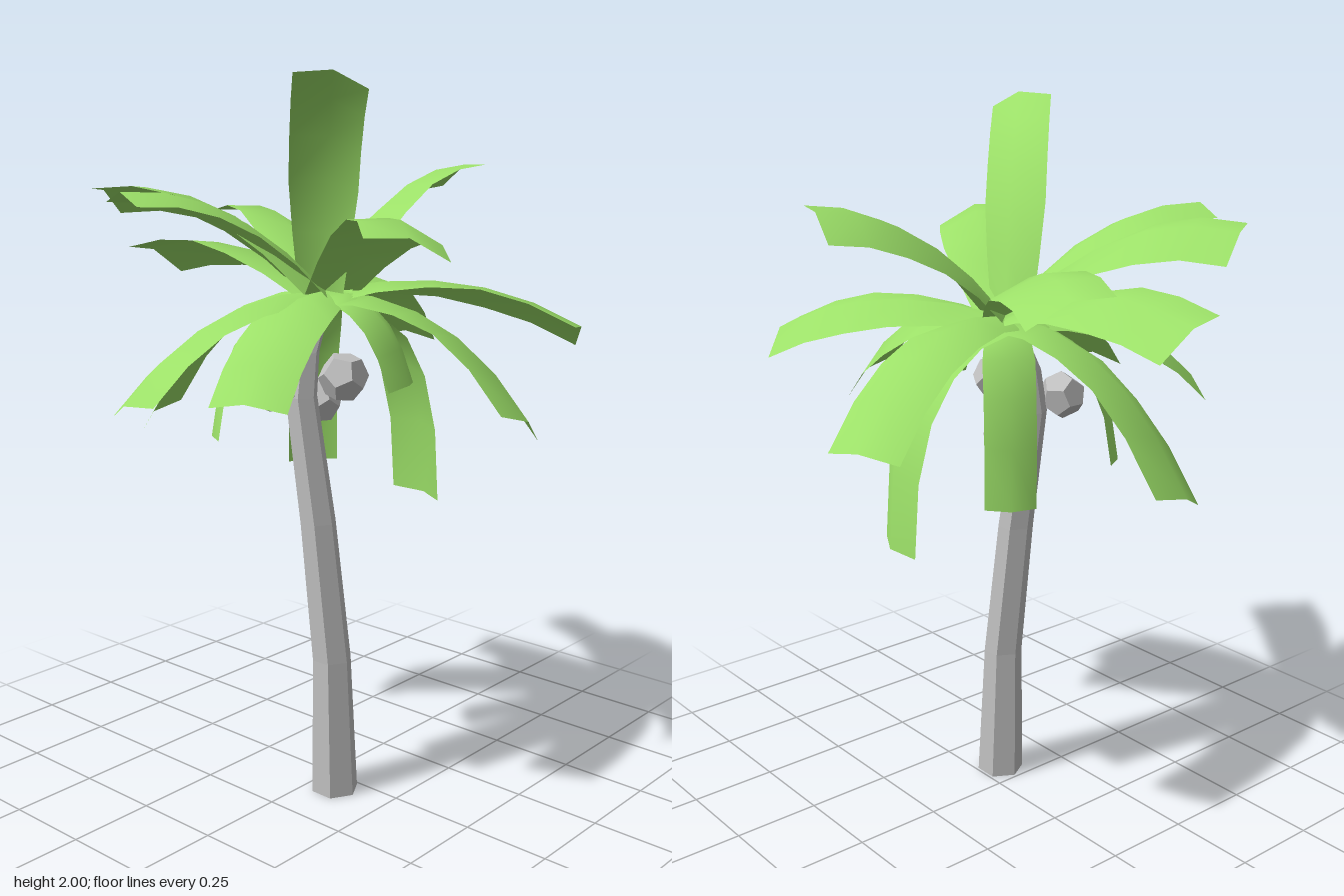
import * as THREE from 'three';

const bark = new THREE.MeshStandardMaterial({ color: 0xc0c0c0 });
bark.name = 'grey bark';
bark.flatShading = true;
const leaf = new THREE.MeshStandardMaterial({ color: 0x9ce068, side: THREE.DoubleSide });
leaf.name = 'leaf green';

const CROWN = new THREE.Vector3(0, 1.43, 0.02);
const UP = new THREE.Vector3(0, 1, 0);
const SEGMENTS = 5;

function indexedGeometry(pos, index) {
  const g = new THREE.BufferGeometry();
  g.setAttribute('position', new THREE.Float32BufferAttribute(pos, 3));
  g.setIndex(index);
  g.computeVertexNormals();
  return g;
}

// Six-sided leaning trunk, ring centres and radii from base to crown
function trunkGeometry() {
  const rings = [
    [0.077, 0, 0.067, 0.068], [0.07, 0.4, 0.072, 0.056], [0.035, 0.8, 0.09, 0.051],
    [-0.01, 1.15, 0.107, 0.045], [-0.01, 1.27, 0.09, 0.04], [0, 1.42, 0.03, 0.03],
  ];
  const pos = [], index = [];
  for (const [x, y, z, r] of rings) {
    for (let k = 0; k < 6; k++) {
      const a = k * Math.PI / 3;
      pos.push(x + r * Math.cos(a), y, z + r * Math.sin(a));
    }
  }
  for (let i = 0; i < rings.length - 1; i++) {
    for (let k = 0; k < 6; k++) {
      const a = i * 6 + k, b = i * 6 + (k + 1) % 6;
      index.push(a, a + 6, b, b, a + 6, b + 6);
    }
  }
  return indexedGeometry(pos, index);
}

// Arched ribbon with a raised midrib; reach and height place the arch's control point
function frondGeometry({ tip: [x, y, z], arch: [reach, height], tilt = 0, yaw = 0, sway = 0, width = 1 }) {
  const tip = new THREE.Vector3(x, y, z);
  const side = new THREE.Vector3(CROWN.z - z, 0, x - CROWN.x).normalize().applyAxisAngle(UP, yaw);
  const bend = CROWN.clone().lerp(tip, reach).setY(height).addScaledVector(side, sway);
  const curve = new THREE.QuadraticBezierCurve3(CROWN, bend, tip);
  const pos = [], index = [];
  for (let i = 0; i <= SEGMENTS; i++) {
    const t = i / SEGMENTS;
    const mid = curve.getPoint(t);
    const up = side.clone().cross(curve.getTangent(t)).normalize();
    const half = width * (0.07 + 0.035 * Math.min(1, t * 3));
    for (const s of [-1, 0, 1]) {
      const p = mid.clone().addScaledVector(side, s * half);
      p.addScaledVector(up, -0.031 * width * Math.abs(s));
      p.y += s * tilt * Math.min(1, t * 1.6);
      pos.push(...p.toArray());
    }
    if (i < SEGMENTS) {
      for (const a of [i * 3, i * 3 + 1]) index.push(a, a + 1, a + 3, a + 1, a + 4, a + 3);
    }
  }
  return indexedGeometry(pos, index);
}

export function createModel() {
  const palm = new THREE.Group();
  palm.name = 'palmTree';
  const add = (name, geometry, material, parent = palm) => {
    const mesh = new THREE.Mesh(geometry, material);
    mesh.name = name;
    parent.add(mesh);
    return mesh;
  };

  add('trunk', trunkGeometry(), bark);

  // Green underside of the trunk
  const base = add('trunkBase', new THREE.CircleGeometry(0.068, 6), leaf);
  base.rotation.x = Math.PI / 2;
  base.position.set(0.077, 0, 0.067);

  // Coconuts hanging round the top of the trunk
  [[-0.035, 1.185, 0.2], [0.135, 1.22, 0.1], [-0.07, 1.11, -0.03]].forEach((p, i) => {
    const nut = add('coconut', new THREE.DodecahedronGeometry(0.068), bark);
    nut.position.set(...p);
    nut.rotation.set(i * 0.7, i * 1.3, 0.3);
  });

  // Fronds: tip position, arch reach and height, roll, turn, sideways bow and relative width
  const fronds = new THREE.Group();
  fronds.name = 'fronds';
  palm.add(fronds);
  [
    // raised
    { tip: [0.265, 2, 0.29], arch: [0.3, 1.86], tilt: 0.02, yaw: -0.5, width: 0.95 },
    { tip: [0.05, 1.75, -0.54], arch: [0.5, 1.75], tilt: 0.035, yaw: -0.2, sway: -0.05 },
    { tip: [-0.19, 1.71, 0.57], arch: [0.5, 1.73] },
    { tip: [-0.56, 1.69, 0.315], arch: [0.5, 1.75], tilt: -0.04 },
    { tip: [0.575, 1.63, 0.385], arch: [0.55, 1.75], tilt: 0.03, sway: -0.07 },
    { tip: [-0.615, 1.6, -0.3], arch: [0.5, 1.69], tilt: -0.035 },
    // level
    { tip: [-0.665, 1.5, 0.045], arch: [0.5, 1.6], tilt: -0.045 },
    { tip: [0.59, 1.35, -0.335], arch: [0.55, 1.52], tilt: 0.04, sway: -0.05 },
    { tip: [-0.235, 1.22, -0.63], arch: [0.6, 1.53] },
    // drooping
    { tip: [0.66, 1.16, 0.01], arch: [0.6, 1.45], tilt: 0.05, yaw: 0.12, sway: -0.05 },
    { tip: [-0.12, 1.19, 0.64], arch: [0.6, 1.46], tilt: -0.03 },
    { tip: [0.19, 1.22, 0.53], arch: [0.6, 1.46] },
    { tip: [-0.58, 1.03, 0.14], arch: [0.6, 1.44], tilt: 0.035 },
    { tip: [0.085, 0.81, -0.32], arch: [1, 1.4] },
    // short inner fronds
    { tip: [0.31, 1.21, 0.04], arch: [0.7, 1.46], yaw: 0.35, width: 0.8 },
    { tip: [-0.22, 1.03, 0.245], arch: [0.9, 1.42], width: 0.6 },
    { tip: [-0.135, 0.92, -0.07], arch: [1.1, 1.4], width: 0.68 },
  ].forEach((f) => add('frond', frondGeometry(f), leaf, fronds));

  return palm;
}
